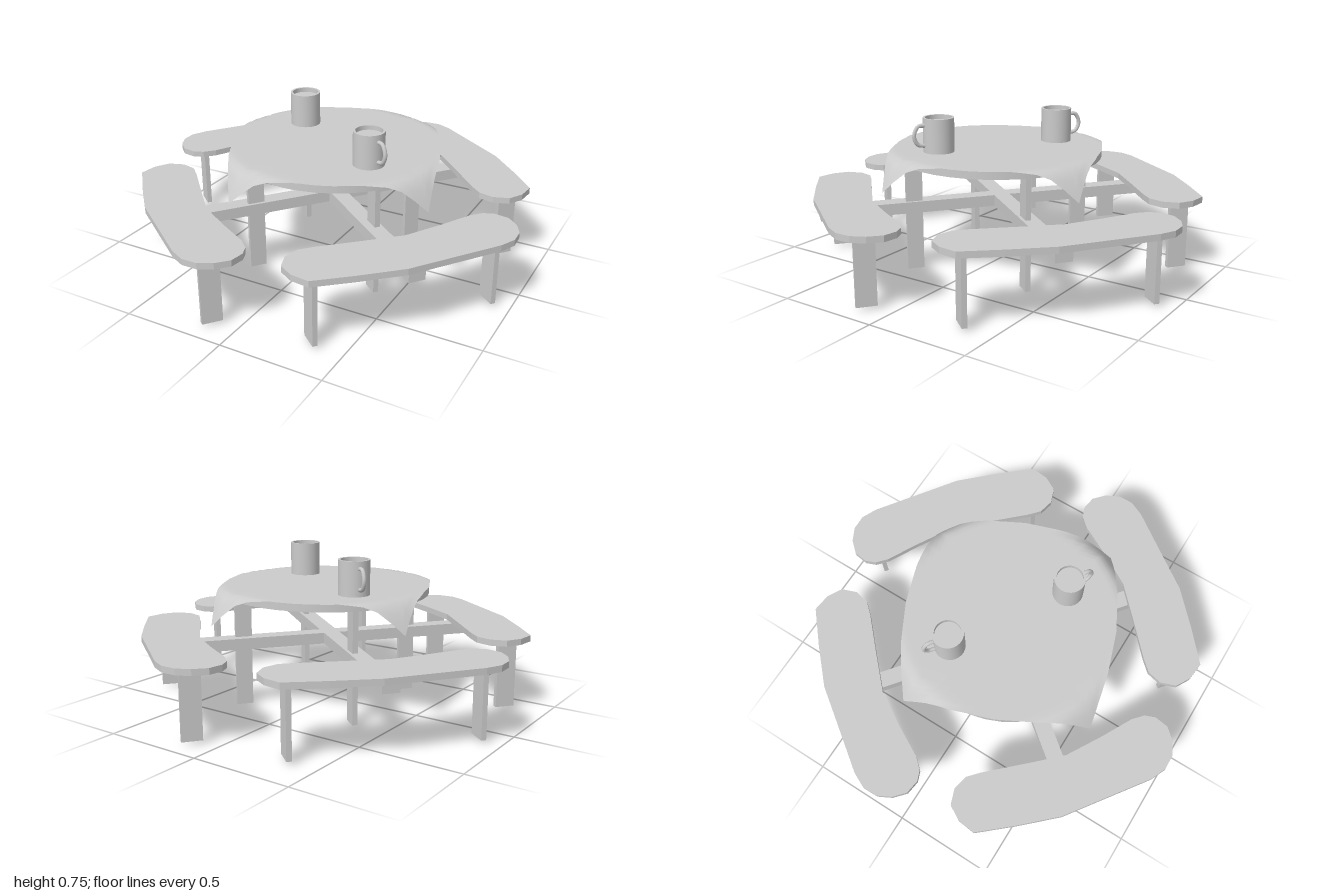
import * as THREE from 'three';

const material = new THREE.MeshStandardMaterial({ color: 0xcccccc });
const thin = new THREE.MeshStandardMaterial({ color: 0xcccccc, side: THREE.DoubleSide });
const RADIAL = 0.9; // heading of the first beam

function add(parent, name, geometry, x = 0, y = 0, z = 0, turn = 0, mat = material) {
  const mesh = new THREE.Mesh(geometry, mat);
  mesh.name = name;
  mesh.position.set(x, y, z);
  mesh.rotation.y = turn;
  parent.add(mesh);
  return mesh;
}

// Curved bench seat with faceted round ends, plus two plank legs
function makeBench() {
  const bench = new THREE.Group();
  bench.name = 'bench';
  const outline = [
    [-0.03, -0.84], [-0.02, -0.91], [0.03, -0.965], [0.095, -0.998], [0.17, -1], [0.245, -0.965],
    [0.46, -0.81], [0.62, -0.695], [0.77, -0.535], [0.9, -0.385], [0.89, -0.295], [0.85, -0.225],
    [0.775, -0.198], [0.7, -0.215], [0.645, -0.265], [0.49, -0.43], [0.36, -0.565], [0.19, -0.665],
    [0.04, -0.745], [-0.01, -0.79],
  ];
  const shape = new THREE.Shape(outline.map(([x, z]) => new THREE.Vector2(x, -z)));
  const seat = new THREE.ExtrudeGeometry(shape, { depth: 0.03, bevelEnabled: false });
  seat.rotateX(-Math.PI / 2);
  add(bench, 'benchSeat', seat, 0, 0.345, 0);
  const leg = new THREE.BoxGeometry(0.096, 0.33, 0.024);
  for (const [x, z] of [[0.122, -0.885], [0.8, -0.335]]) add(bench, 'benchLeg', leg, x, 0.18, z, RADIAL);
  return bench;
}

// Square cloth: flat over the table, with four drooping corners
function clothHeight(r) {
  const profile = [[0, 0.589], [0.525, 0.589], [0.55, 0.58], [0.575, 0.556], [0.64, 0.445]];
  for (let i = 1; i < profile.length; i++) {
    const [r0, y0] = profile[i - 1], [r1, y1] = profile[i];
    if (r <= r1) return y0 + ((y1 - y0) * (r - r0)) / (r1 - r0);
  }
  return 0.445;
}

function clothGeometry() {
  const radii = [0.638, 0.536, 0.511, 0.536];
  const rings = [0.35, 0.7, 0.8, 0.84, 0.88, 0.92, 0.96, 1];
  const corner = (k) => {
    const a = 0.38 + (k * Math.PI) / 8;
    return new THREE.Vector2(Math.cos(a), Math.sin(a)).multiplyScalar(radii[k % 4]);
  };
  const steps = 4, n = 16 * steps;
  const positions = [0, 0.589, 0], index = [];
  for (const s of rings) {
    for (let i = 0; i < n; i++) {
      const k = Math.floor(i / steps);
      const p = corner(k).lerp(corner(k + 1), (i % steps) / steps).multiplyScalar(s);
      positions.push(p.x, clothHeight(p.length()), p.y);
    }
  }
  for (let i = 0; i < n; i++) {
    const j = (i + 1) % n;
    index.push(0, 1 + j, 1 + i);
    for (let k = 0; k < rings.length - 1; k++) {
      const a = 1 + k * n + i, b = 1 + k * n + j;
      index.push(a, b, b + n, a, b + n, a + n);
    }
  }
  const geometry = new THREE.BufferGeometry();
  geometry.setAttribute('position', new THREE.Float32BufferAttribute(positions, 3));
  geometry.setIndex(index);
  geometry.computeVertexNormals();
  return geometry;
}

// Hollow mug with a drink inside and a curved handle on its local +x
function makeMug(x, z, turn) {
  const mug = new THREE.Group();
  mug.name = 'mug';
  mug.position.set(x, 0.588, z);
  mug.rotation.y = turn;
  const wall = [[0.075, 0], [0.075, 0.167], [0.064, 0.167], [0.064, 0.12]];
  for (let i = 0; i < wall.length - 1; i++) {
    const pair = [wall[i], wall[i + 1]].map(([r, y]) => new THREE.Vector2(r, y));
    add(mug, 'mugWall', new THREE.LatheGeometry(pair, 28), 0, 0, 0, 0, thin);
  }
  const drink = new THREE.CircleGeometry(0.064, 28).rotateX(-Math.PI / 2);
  add(mug, 'drink', drink, 0, 0.145, 0);
  const path = new THREE.CatmullRomCurve3(
    [[0.07, 0.132], [0.105, 0.13], [0.126, 0.085], [0.108, 0.044], [0.07, 0.034]]
      .map(([px, py]) => new THREE.Vector3(px, py, 0)));
  add(mug, 'mugHandle', new THREE.TubeGeometry(path, 16, 0.01, 8));
  return mug;
}

export function createModel() {
  const model = new THREE.Group();
  model.name = 'picnicTable';

  // Four benches around the table
  for (let i = 0; i < 4; i++) {
    const bench = makeBench();
    bench.rotation.y = (i * Math.PI) / 2;
    model.add(bench);
  }

  // Crossed beams joining the benches
  const beam = new THREE.BoxGeometry(1.78, 0.055, 0.08);
  for (let i = 0; i < 2; i++) add(model, 'crossBeam', beam, 0.015, 0.3175, 0.01, RADIAL + (i * Math.PI) / 2);

  // Four plank legs standing on the beams
  const leg = new THREE.BoxGeometry(0.08, 0.56, 0.026);
  for (let i = 0; i < 4; i++) {
    const a = RADIAL + (i * Math.PI) / 2;
    add(model, 'tableLeg', leg, 0.032 + 0.427 * Math.cos(a), 0.28, 0.008 - 0.427 * Math.sin(a), a);
  }

  // Table top and cloth
  add(model, 'tableTop', new THREE.CylinderGeometry(0.508, 0.508, 0.035, 40), 0.03, 0.5675, 0.008);
  add(model, 'tablecloth', clothGeometry(), 0.03, 0, 0.008, 0, thin);

  model.add(makeMug(-0.243, -0.16, 2.53), makeMug(0.288, 0.175, -0.5));
  return model;
}
